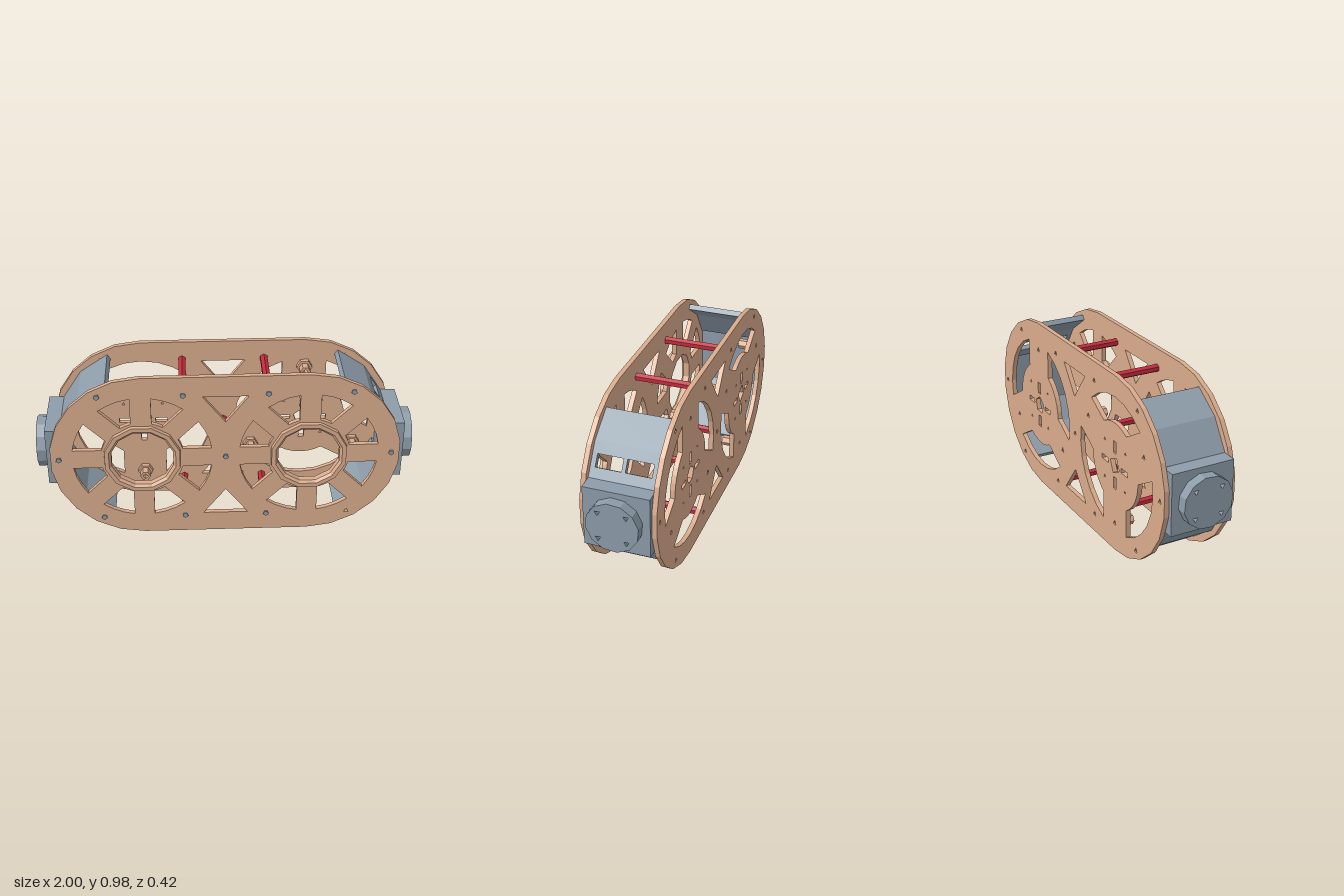
import * as THREE from 'three';

const CY = 0.4875, WHEEL_X = 0.44;
const FRONT_Z = 0.165, BACK_Z = -0.18, T = 0.026;
const rad = THREE.MathUtils.degToRad;
const mat = (color) => new THREE.MeshStandardMaterial({ color, flatShading: true, side: THREE.DoubleSide });

const polar = (cx, cy, r, deg) => new THREE.Vector2(cx + r * Math.cos(rad(deg)), cy + r * Math.sin(rad(deg)));

// points along an arc
function arc(cx, cy, r, a0, a1, n) {
  return Array.from({ length: n + 1 }, (_, i) => polar(cx, cy, r, a0 + (a1 - a0) * i / n));
}
const polygon = (cx, cy, r, n, turn = 0) => arc(cx, cy, r, turn, turn + 360, n).slice(0, n);
const rect = (x0, y0, x1, y1) => [[x0, y0], [x1, y0], [x1, y1], [x0, y1]].map(p => new THREE.Vector2(...p));

function extrude(points, holes, depth) {
  const shape = new THREE.Shape(points);
  shape.holes = holes.map(h => new THREE.Path(h));
  return new THREE.ExtrudeGeometry(shape, { depth, bevelEnabled: false });
}

// arc-shaped window whose sides run parallel to the spokes at a0 and a1
function spokeWindow(cx, r0, r1, a0, a1, halfSpoke, n) {
  const trim = r => THREE.MathUtils.radToDeg(Math.asin(halfSpoke / r));
  return [
    ...arc(cx, CY, r1, a0 + trim(r1), a1 - trim(r1), n),
    ...arc(cx, CY, r0, a1 - trim(r0), a0 + trim(r0), n),
  ];
}

export function createModel() {
  const model = new THREE.Group();
  const tan = mat(0xd9ab8c), grey = mat(0x8c9ca9), red = mat(0xc22a3c);
  const add = (name, geometry, material, x = 0, y = 0, z = 0, parent = model) => {
    const mesh = new THREE.Mesh(geometry, material);
    mesh.name = name;
    mesh.position.set(x, y, z);
    parent.add(mesh);
    return mesh;
  };

  // shared plate outline, triangular cut-outs and fixing points
  const outline = [
    ...arc(WHEEL_X, CY, CY, -90, 90, 11),
    ...arc(-WHEEL_X, CY, CY, 90, 270, 11),
  ];
  const triangles = [1, -1].map(s =>
    [[-0.12, 0.37], [0.12, 0.37], [0, 0.215]].map(([x, y]) => new THREE.Vector2(x, CY + s * y)));
  const fixings = [[0, CY]];
  for (const s of [-1, 1]) {
    fixings.push([s * 0.88, CY]);
    for (const x of [0.22, 0.66]) for (const y of [0.105, 0.87]) fixings.push([s * x, y]);
  }

  // front plate: open hubs with eight spokes each
  const frontHoles = [...triangles, polygon(0.66, 0.105, 0.016, 3, 90)];
  // back plate: slotted hubs with three wide windows each
  const backHoles = [...triangles, ...fixings.map(([x, y]) => polygon(x, y, 0.016, 3, 90))];
  const bosses = [];
  for (const s of [-1, 1]) {
    const cx = s * WHEEL_X;
    frontHoles.push(polygon(cx, CY, 0.17, 12, 15));
    for (let a = 0; a < 360; a += 45) frontHoles.push(spokeWindow(cx, 0.22, 0.37, a, a + 45, 0.055, 3));

    backHoles.push(polygon(cx, CY, 0.05, s < 0 ? 4 : 5, 20));
    for (const d of [-0.1, 0.1]) {
      backHoles.push(rect(cx + d - 0.033, CY - 0.013, cx + d + 0.033, CY + 0.013));
      backHoles.push(rect(cx - 0.015, CY + d - 0.033, cx + 0.015, CY + d + 0.033));
    }
    for (let k = 0; k < 3; k++) {
      const solid = s * 90 + k * 120;
      backHoles.push(spokeWindow(cx, 0.235, 0.375, solid, solid + 120, 0.12, 6));
      const boss = polar(cx, CY, 0.33, solid);
      bosses.push(boss);
      backHoles.push(polygon(boss.x, boss.y, 0.016, 3, 90));
    }
    for (let a = 45; a < 360; a += 90) {
      const p = polar(cx, CY, 0.15, a);
      backHoles.push(polygon(p.x, p.y, 0.01, 3, 90));
    }
  }
  add('frontPlate', extrude(outline, frontHoles, T), tan, 0, 0, FRONT_Z);
  add('backPlate', extrude(outline, backHoles, T), tan, 0, 0, BACK_Z - T);

  // raised hub rings with a bevelled inner lip
  const ringProfile = [[0.168, 0], [0.168, 0.034], [0.182, 0.046], [0.205, 0.046], [0.208, 0.02], [0.208, 0]]
    .map(p => new THREE.Vector2(...p));
  for (const s of [-1, 1]) {
    const ring = add('hubRing', new THREE.LatheGeometry(ringProfile, 12), tan, s * WHEEL_X, CY, FRONT_Z);
    ring.rotation.set(Math.PI / 2, rad(15), 0);
  }

  // stepped bosses inside the back plate
  for (const p of bosses) {
    const boss = new THREE.Group();
    boss.name = 'boss';
    boss.position.set(p.x, p.y, BACK_Z);
    add('bossBase', extrude(polygon(0, 0, 0.042, 6), [polygon(0, 0, 0.016, 4)], 0.025), tan, 0, 0, 0, boss);
    add('bossSocket', extrude(polygon(0, 0, 0.029, 6), [polygon(0, 0, 0.016, 4)], 0.05), tan, 0, 0, 0.025, boss);
    model.add(boss);
  }

  // bolts on the front plate
  for (const [x, y] of fixings) {
    if (x === 0.66 && y === 0.105) continue;
    add('bolt', new THREE.CylinderGeometry(0.016, 0.016, 0.02, 5).rotateX(Math.PI / 2), grey, x, y, 0.188);
  }

  // red spacer rods between the plates
  const span = FRONT_Z - BACK_Z, midZ = (FRONT_Z + BACK_Z) / 2;
  for (const [x, y] of fixings.filter(f => Math.abs(f[0]) < 0.3)) {
    add('spacerRod', new THREE.CylinderGeometry(0.022, 0.022, span, 6).rotateX(Math.PI / 2), red, x, y, midZ);
  }

  // flat panel of the curved end wall between two angles
  const R = 0.457, WALL = 0.03;
  function wallPanel(parent, cx, a0, a1, windows) {
    const p0 = polar(cx, CY, R, a0), p1 = polar(cx, CY, R, a1);
    const length = p0.distanceTo(p1);
    const holes = windows ? [
      rect(length * 0.3, -0.15, length * 0.66, -0.015),
      rect(length * 0.3, 0.005, length * 0.66, 0.14),
    ] : [];
    const geometry = extrude(rect(0, BACK_Z, length, FRONT_Z), holes, WALL).translate(0, 0, -WALL);
    const u = new THREE.Vector3(p1.x - p0.x, p1.y - p0.y, 0).normalize();
    const v = new THREE.Vector3(0, 0, 1);
    geometry.applyMatrix4(new THREE.Matrix4().makeBasis(u, v, u.clone().cross(v)).setPosition(p0.x, p0.y, 0));
    add('endWallPanel', geometry, grey, 0, 0, 0, parent);
  }

  // end units: curved wall, mounting block and round cap
  for (const s of [-1, 1]) {
    const end = new THREE.Group();
    end.name = s > 0 ? 'leftEnd' : 'rightEnd';
    model.add(end);
    for (const [a0, a1] of [[-67, -42], [-42, -21.5], [21.5, 44.5], [44.5, 67]]) {
      const windows = s > 0 && a0 === 21.5;
      if (s > 0) wallPanel(end, WHEEL_X, a0, a1, windows);
      else wallPanel(end, -WHEEL_X, 180 - a1, 180 - a0, windows);
    }
    add('mountingBlock', new THREE.BoxGeometry(0.09, 0.332, span), grey, s * 0.9, CY, midZ, end);

    const capHoles = [];
    for (const i of [-1, 1]) for (const j of [-1, 1]) capHoles.push(polygon(i * 0.073, j * 0.073, 0.016, 3, 30));
    const cap = extrude(polygon(0, 0, 0.138, 12, 10), capHoles, 0.056);
    cap.rotateY(s * Math.PI / 2);
    add('endCap', cap, grey, s * 0.944, CY, -0.006, end);
  }
  return model;
}
